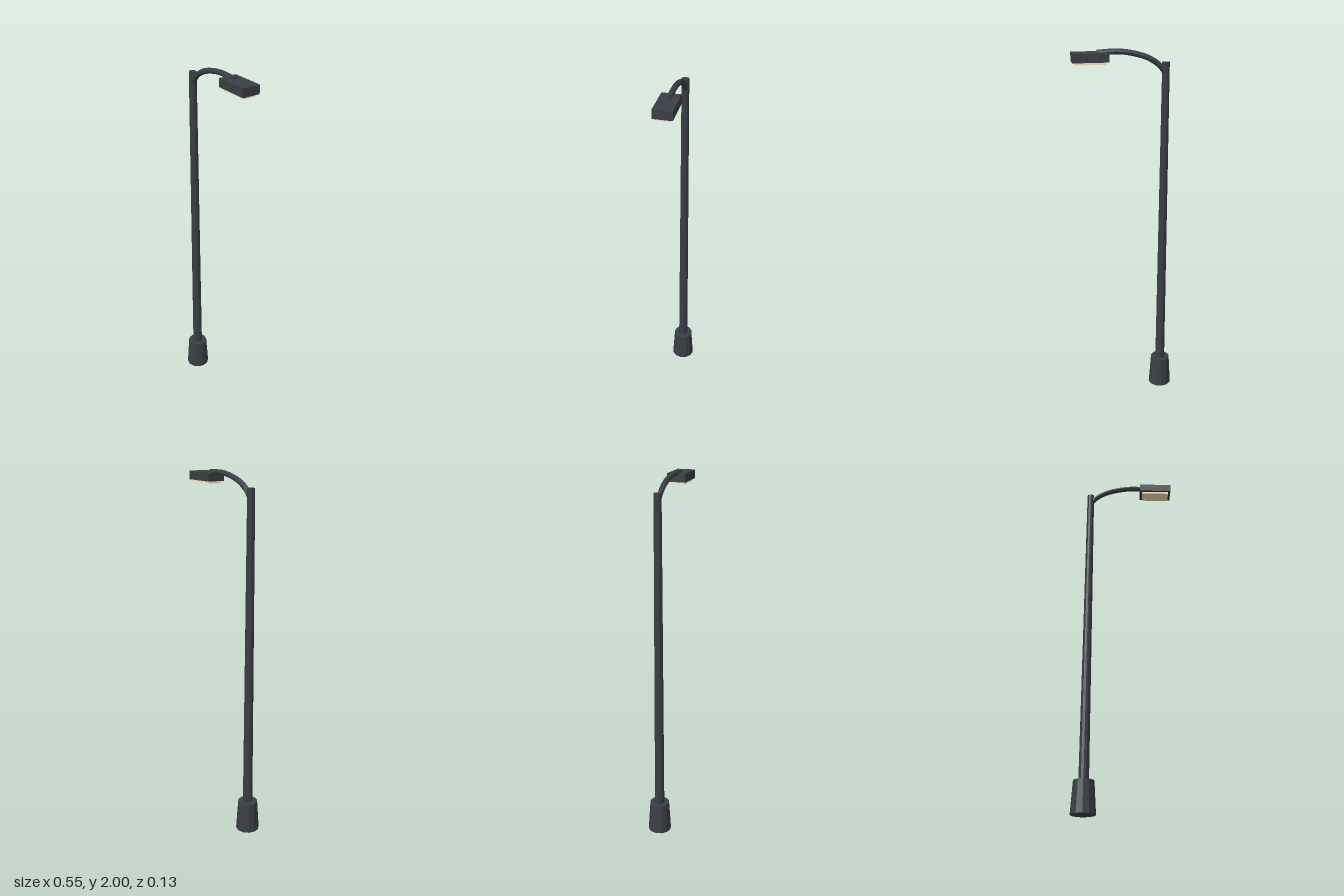
import * as THREE from 'three';

export function createModel() {
  const model = new THREE.Group();
  model.name = 'streetLamp';

  const metal = new THREE.MeshStandardMaterial({ color: 0x3a3e45, flatShading: true });
  const glass = new THREE.MeshStandardMaterial({ color: 0xffe8c0 });
  const poleX = -0.211;

  const add = (name, geometry, material, x = 0, y = 0) => {
    const mesh = new THREE.Mesh(geometry, material);
    mesh.name = name;
    mesh.position.set(x, y, 0);
    model.add(mesh);
  };

  // Tapered foot and pole
  add('base', new THREE.CylinderGeometry(0.055, 0.066, 0.172, 12), metal, poleX, 0.086);
  add('pole', new THREE.CylinderGeometry(0.02, 0.028, 1.928, 12), metal, poleX, 0.964);

  // Curved arm, closed at its outer end
  const armPath = new THREE.CatmullRomCurve3([
    [poleX, 1.868], [-0.183, 1.907], [-0.124, 1.948], [-0.045, 1.974], [0.04, 1.986], [0.147, 1.982],
  ].map(([x, y]) => new THREE.Vector3(x, y, 0)));
  add('arm', new THREE.TubeGeometry(armPath, 20, 0.0145, 8), metal);
  const cap = new THREE.CircleGeometry(0.0145, 8).rotateY(Math.PI / 2);
  add('armCap', cap, metal, 0.147, 1.982);

  // Lamp head with the light panel below
  add('lampHead', new THREE.BoxGeometry(0.186, 0.045, 0.098), metal, 0.183, 1.961);
  add('lightPanel', new THREE.BoxGeometry(0.158, 0.016, 0.074), glass, 0.183, 1.934);

  return model;
}
